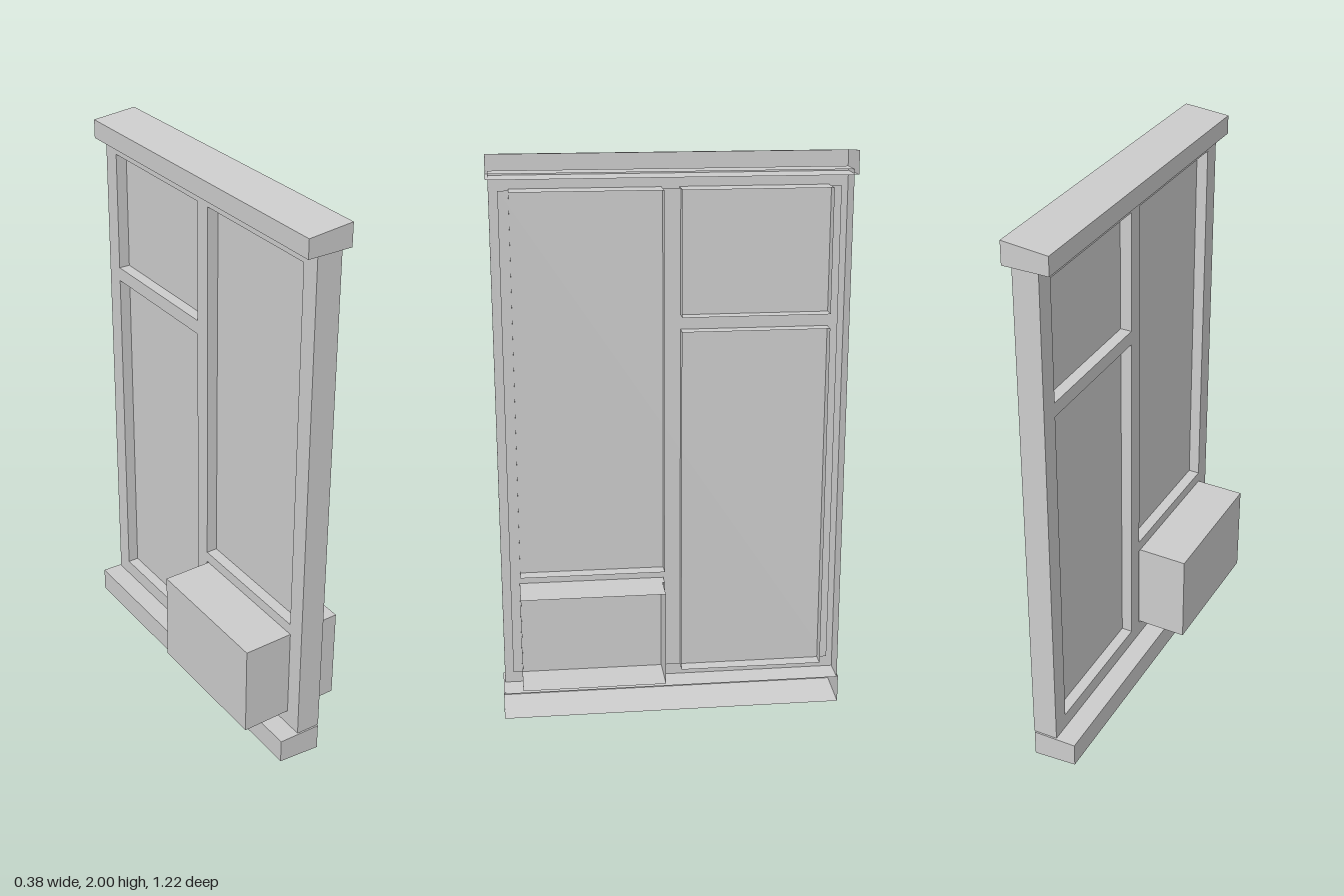
import * as THREE from 'three';

const material = new THREE.MeshStandardMaterial({ color: 0xcccccc, side: THREE.DoubleSide });

// Every part is a shell left open on its wall side (+x): drop the faces pointing there.
function openShell(geometry) {
  const source = geometry.index ? geometry.toNonIndexed() : geometry;
  const pos = source.attributes.position;
  const kept = [];
  const [a, b, c] = [new THREE.Vector3(), new THREE.Vector3(), new THREE.Vector3()];
  const n = new THREE.Vector3();
  for (let i = 0; i < pos.count; i += 3) {
    [a, b, c].forEach((v, k) => v.fromBufferAttribute(pos, i + k));
    new THREE.Triangle(a, b, c).getNormal(n);
    if (n.x < 0.9) [a, b, c].forEach((v) => kept.push(v.x, v.y, v.z));
  }
  const shell = new THREE.BufferGeometry();
  shell.setAttribute('position', new THREE.Float32BufferAttribute(kept, 3));
  shell.computeVertexNormals();
  return shell;
}

// Rectangle outline, for the frame and its openings
function rect(PathType, u0, u1, y0, y1) {
  const p = new PathType();
  p.moveTo(u0, y0);
  p.lineTo(u1, y0);
  p.lineTo(u1, y1);
  p.lineTo(u0, y1);
  p.closePath();
  return p;
}

// Moulding with a profile in x and y, running along z
function moulding(points, halfLength) {
  const shape = new THREE.Shape(points.map(([x, y]) => new THREE.Vector2(x, y)));
  const geo = new THREE.ExtrudeGeometry(shape, { depth: 2 * halfLength, bevelEnabled: false });
  return openShell(geo.translate(0, 0, -halfLength));
}

export function createModel() {
  const group = new THREE.Group();
  const add = (name, geometry) => {
    const mesh = new THREE.Mesh(geometry, material);
    mesh.name = name;
    group.add(mesh);
  };

  // Frame with jambs, mullion and rails, cut as one sheet with four openings
  const frame = rect(THREE.Shape, -0.6, 0.6, 0.1, 1.935);
  const openings = [
    [-0.535, -0.03, 0.16, 0.5],
    [-0.535, -0.03, 0.54, 1.875],
    [0.03, 0.535, 0.16, 1.4],
    [0.03, 0.535, 1.45, 1.875],
  ];
  for (const o of openings) frame.holes.push(rect(THREE.Path, ...o));
  const frameGeo = new THREE.ExtrudeGeometry(frame, { depth: 0.09, bevelEnabled: false });
  frameGeo.rotateY(Math.PI / 2).translate(-0.01, 0, 0);
  add('windowFrame', openShell(frameGeo));

  // Single glass sheet set back in the frame, facing outdoors (-x)
  const glass = new THREE.PlaneGeometry(1.14, 1.715);
  glass.rotateY(-Math.PI / 2).translate(0.03, 1.0175, 0);
  add('glass', glass);

  // Sloped head moulding and sill
  add('headMoulding', moulding([[-0.05, 1.92], [0.11, 1.92], [0.11, 2], [-0.05, 1.985]], 0.608));
  add('sill', moulding([[-0.085, 0.015], [0.075, 0], [0.075, 0.1], [-0.085, 0.105]], 0.606));

  // Air conditioner casing through the lower opening
  const casing = new THREE.BoxGeometry(0.375, 0.34, 0.5);
  casing.translate(-0.0025, 0.33, 0.288);
  add('airConditioner', openShell(casing));

  return group;
}
